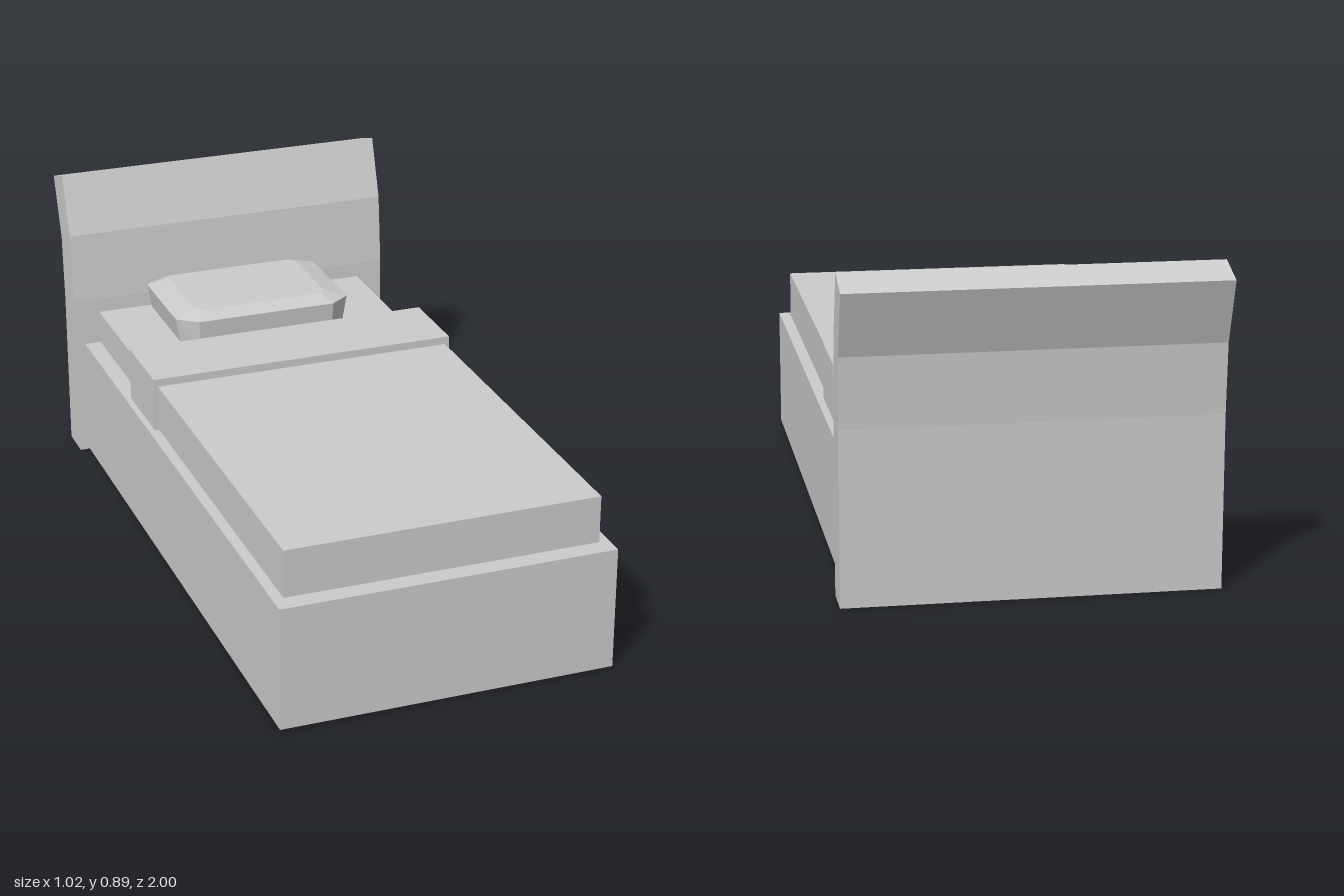
import * as THREE from 'three';
import { ConvexGeometry } from 'three/addons/geometries/ConvexGeometry.js';

const material = new THREE.MeshStandardMaterial({ color: 0xcccccc, flatShading: true });

function addPart(group, name, geometry) {
  const mesh = new THREE.Mesh(geometry, material);
  mesh.name = name;
  group.add(mesh);
  return mesh;
}

// Box given by its limits on each axis
function addBox(group, name, [x0, x1], [y0, y1], [z0, z1]) {
  const mesh = addPart(group, name, new THREE.BoxGeometry(x1 - x0, y1 - y0, z1 - z0));
  mesh.position.set((x0 + x1) / 2, (y0 + y1) / 2, (z0 + z1) / 2);
}

// Rectangle with cut corners at height y
function cutCornerRing(y, halfX, z0, z1, cutX, cutZ) {
  const points = [];
  for (const side of [-1, 1]) {
    for (const [z, dir] of [[z0, 1], [z1, -1]]) {
      points.push(new THREE.Vector3(side * (halfX - cutX), y, z));
      points.push(new THREE.Vector3(side * halfX, y, z + dir * cutZ));
    }
  }
  return points;
}

export function createModel() {
  const bed = new THREE.Group();
  bed.name = 'bed';

  // Base and bedding
  addBox(bed, 'base', [-0.478, 0.478], [0, 0.357], [-0.83, 1]);
  addBox(bed, 'mattress', [-0.428, 0.428], [0.35, 0.457], [-0.83, 0.92]);
  addBox(bed, 'blanket', [-0.449, 0.446], [0.36, 0.497], [-0.13, 0.95]);
  addBox(bed, 'blanketFold', [-0.462, 0.459], [0.36, 0.52], [-0.37, -0.13]);

  // Pillow: straight sides and a softly bevelled top
  addPart(bed, 'pillow', new ConvexGeometry([
    ...cutCornerRing(0.457, 0.262, -0.84, -0.468, 0.05, 0.04),
    ...cutCornerRing(0.532, 0.275, -0.85, -0.462, 0.06, 0.045),
    ...cutCornerRing(0.55, 0.21, -0.81, -0.51, 0.02, 0.02),
  ]));

  // Headboard: side profile (z, y) leaning backwards, swept across the width
  const profile = [
    [-0.806, 0], [-0.818, 0.5], [-0.838, 0.71], [-0.898, 0.887],
    [-1, 0.853], [-0.935, 0.675], [-0.92, 0.48], [-0.915, 0],
  ];
  const shape = new THREE.Shape(profile.map(([z, y]) => new THREE.Vector2(-z, y)));
  const headboard = new THREE.ExtrudeGeometry(shape, { depth: 1.016, bevelEnabled: false });
  headboard.translate(0, 0, -0.508).rotateY(Math.PI / 2);
  // The turn sends shape x to -z and depth to x
  addPart(bed, 'headboard', headboard);

  return bed;
}
